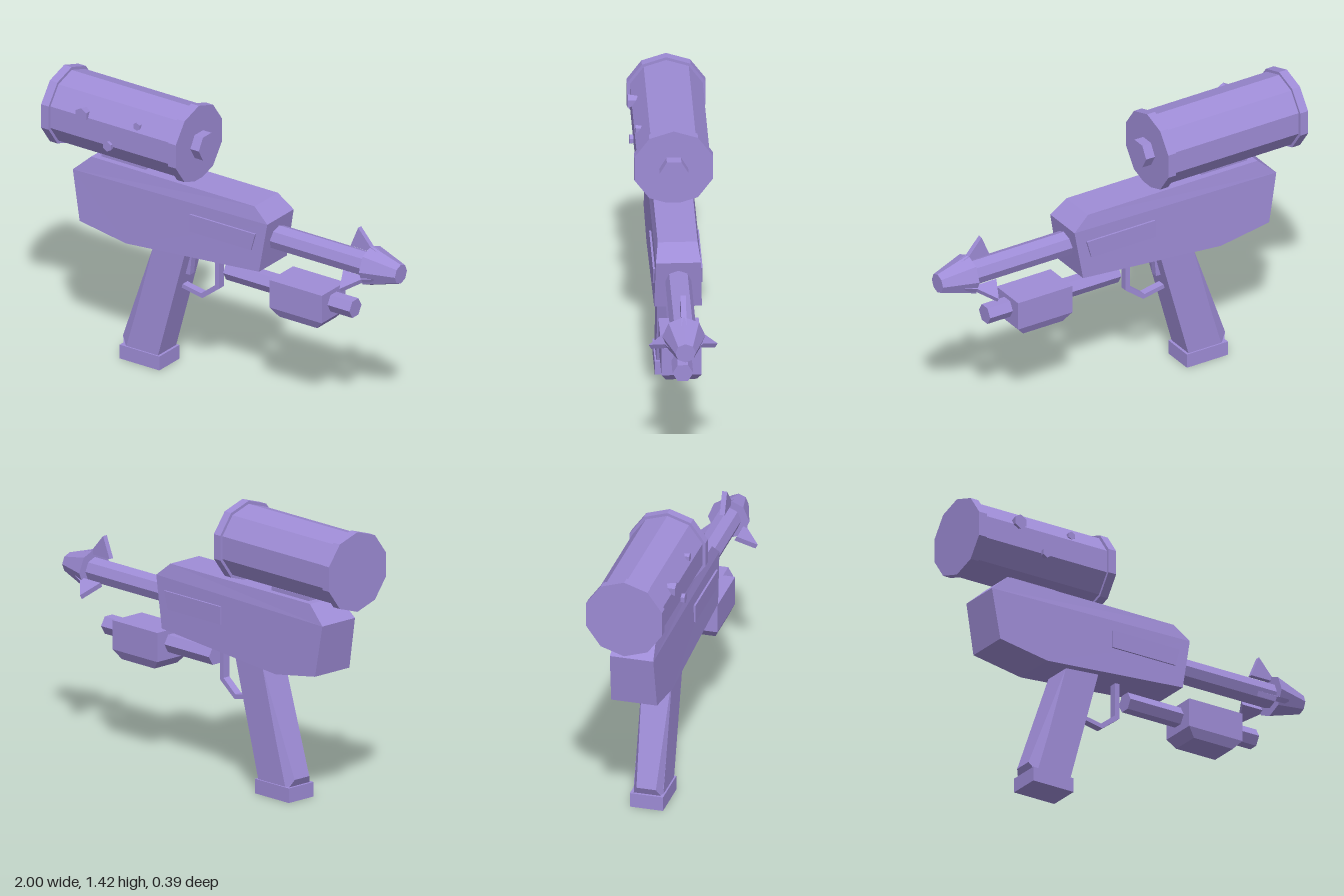
import * as THREE from 'three';

export function createModel() {
  const group = new THREE.Group();
  const violet = new THREE.MeshStandardMaterial({ color: 0x9e8cd6, flatShading: true });
  violet.name = 'violet';

  function add(name, geo, parent = group) {
    const mesh = new THREE.Mesh(geo, violet);
    mesh.name = name;
    parent.add(mesh);
    return mesh;
  }

  // Side profile extruded across z, centred on z = 0
  function slab(points, depth) {
    const shape = new THREE.Shape(points.map(([x, y]) => new THREE.Vector2(x, y)));
    return new THREE.ExtrudeGeometry(shape, { depth, bevelEnabled: false }).translate(0, 0, -depth / 2);
  }

  // Prism or cone frustum lying along x
  function rod(x0, x1, y, r0, r1, sides, start = 0) {
    return new THREE.CylinderGeometry(r1, r0, x1 - x0, sides, 1, false, start)
      .rotateZ(-Math.PI / 2).translate((x0 + x1) / 2, y, 0);
  }

  function box(x0, x1, y0, y1, depth) {
    return new THREE.BoxGeometry(x1 - x0, y1 - y0, depth).translate((x0 + x1) / 2, (y0 + y1) / 2, 0);
  }

  // Move vertices by a rule
  function reshape(geo, rule) {
    const pos = geo.attributes.position, v = new THREE.Vector3();
    for (let i = 0; i < pos.count; i++) {
      rule(v.fromBufferAttribute(pos, i));
      pos.setXYZ(i, v.x, v.y, v.z);
    }
    geo.computeVertexNormals();
    return geo;
  }

  // Main body, narrowing towards the top
  const body = slab([[-0.87, 0.945], [-0.825, 0.685], [-0.55, 0.64], [0.24, 0.705],
    [0.285, 0.965], [0.2, 1.035], [-0.77, 1.035]], 0.23);
  add('body', reshape(body, v => {
    v.z = Math.sign(v.z) * (v.y > 1 ? 0.096 : v.y > 0.9 ? 0.109 : 0.115);
  }));
  add('sidePanels', slab([[-0.17, 0.81], [0.195, 0.81], [0.22, 0.9], [-0.17, 0.9]], 0.24));

  // Tank with end rims, nozzle and mount
  const tank = new THREE.Group();
  tank.name = 'tank';
  group.add(tank);
  const tankY = 1.224;
  add('tankBody', rod(-0.97, -0.22, tankY, 0.185, 0.185, 10, Math.PI / 2), tank);
  for (const x of [-1, -0.245]) {
    add('tankRim', rod(x, x + 0.045, tankY, 0.2, 0.2, 10, Math.PI / 2), tank);
  }
  add('tankNozzle', rod(-0.21, -0.15, tankY - 0.003, 0.07, 0.07, 6), tank);
  add('tankMount', box(-0.73, -0.47, 1.02, 1.055, 0.13), tank);

  // Small knobs on the front of the tank: x, y, front z, radius
  for (const [x, y, z, r] of [[-0.76, 1.295, 0.195, 0.037], [-0.605, 1.17, 0.195, 0.026], [-0.447, 1.31, 0.172, 0.021]]) {
    const knob = new THREE.CylinderGeometry(r, r * 0.7, 0.05, 6)
      .rotateX(Math.PI / 2).translate(x, y, z - 0.025);
    add('tankKnob', knob, tank);
  }

  // Barrel with a conical tip and three barbs
  const barrelY = 0.856;
  add('barrel', rod(0.2, 0.85, barrelY, 0.063, 0.063, 8));
  add('barrelTip', rod(0.825, 1, barrelY, 0.104, 0.05, 8));
  for (let i = 0; i < 3; i++) {
    const barb = add('barb', slab([[0.71, 0.078], [0.89, 0.078], [0.83, 0.1], [0.755, 0.185]], 0.025));
    barb.position.y = barrelY;
    barb.rotation.x = i * Math.PI * 2 / 3;
  }

  // Lower tube and its fore grip, tapered below
  add('lowerTube', rod(-0.02, 0.73, 0.602, 0.05, 0.05, 6));
  const foreGrip = new THREE.BoxGeometry(0.31, 0.2, 0.194, 1, 2, 1);
  add('foreGrip', reshape(foreGrip, v => {
    if (v.y < -0.05) { v.x *= 0.73; v.z *= 0.78; v.y = 0.477; }
    else v.y = v.y > 0.05 ? 0.668 : 0.522;
    v.x += 0.445;
  }));

  // Handle with a narrower back spine and a base
  add('handle', slab([[-0.58, 0.06], [-0.392, 0.06], [-0.225, 0.67], [-0.4, 0.67]], 0.15));
  const spine = slab([[-0.575, 0.06], [-0.4, 0.66], [-0.415, 0.65], [-0.615, 0.11], [-0.59, 0.06]], 0.15);
  add('handleSpine', reshape(spine, v => {
    if (v.x === Math.fround(-0.615)) v.z *= 0.65;
  }));
  add('handleBase', box(-0.61, -0.375, 0, 0.073, 0.166));

  // Trigger and guard
  add('trigger', slab([[-0.29, 0.65], [-0.275, 0.52], [-0.24, 0.52], [-0.228, 0.65]], 0.035));
  add('triggerGuard', slab([[-0.065, 0.69], [-0.09, 0.69], [-0.09, 0.507], [-0.172, 0.442],
    [-0.3, 0.465], [-0.3, 0.443], [-0.165, 0.418], [-0.065, 0.495]], 0.04));

  return group;
}
